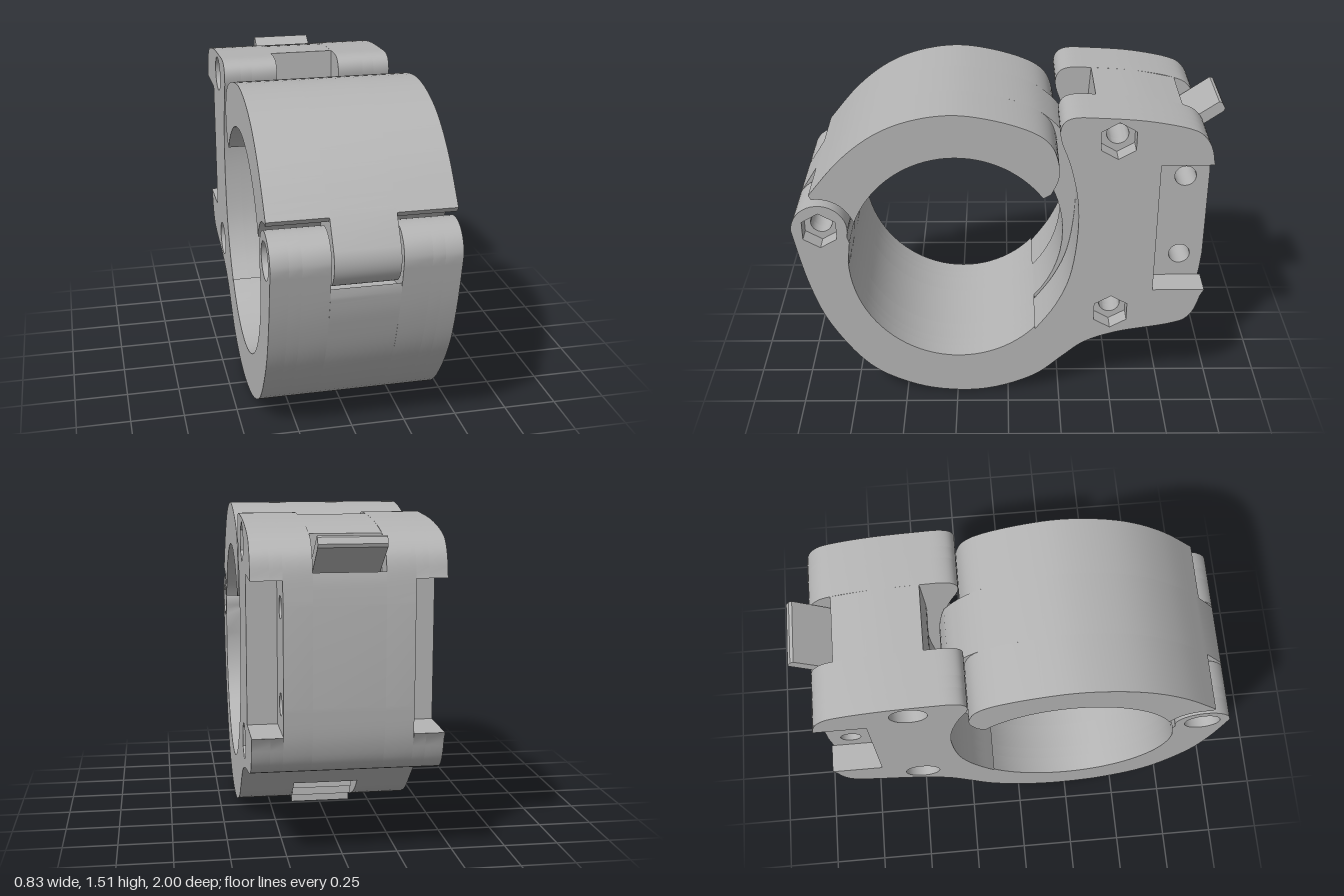
import * as THREE from 'three';
import { toCreasedNormals } from 'three/addons/utils/BufferGeometryUtils.js';

const rad = THREE.MathUtils.degToRad;
const HINGE = [0.87, 0.925];
const PINS = [HINGE, [-0.49, 1.38], [-0.49, 0.47]];
const SCREWS = [[-0.82, 1.135], [-0.82, 0.715]];

// Profiles are drawn as [z, y] points
const ring = (c, rz, ry, a0, a1, n = 24) => Array.from({ length: n + 1 }, (_, i) => {
  const a = rad(a0 + (a1 - a0) * i / n);
  return [c[0] + rz * Math.cos(a), c[1] + ry * Math.sin(a)];
});
const bore = (a0, a1) => ring([0.24, 0.757], 0.507, 0.542, a0, a1, 32);
const aroundHinge = (r, a0, a1, n) => ring(HINGE, r, r, a0, a1, n);
const smooth = (pts, n = 5) => new THREE.SplineCurve(pts.map(p => new THREE.Vector2(...p)))
  .getPoints(n * (pts.length - 1)).map(p => [p.x, p.y]);
const circle = (c, r) => ring(c, r, r, 0, 360, 28);
const hexagon = (c, r) => ring(c, r, r, 30, 390, 6);

const toVectors = (pts) => {
  const out = [];
  for (const p of pts) {
    const v = new THREE.Vector2(...p);
    if (!out.length || out[out.length - 1].distanceTo(v) > 1e-4) out.push(v);
  }
  if (out[0].distanceTo(out[out.length - 1]) < 1e-4) out.pop();
  return out;
};

// Extrudes a profile sideways from x0 to x1
function slab(outline, holes, x0, x1) {
  const shape = new THREE.Shape(toVectors(outline));
  shape.holes = holes.map(h => new THREE.Path(toVectors(h)));
  const g = new THREE.ExtrudeGeometry(shape, { depth: x1 - x0, bevelEnabled: false });
  g.rotateY(-Math.PI / 2);
  g.translate(x1, 0, 0);
  return toCreasedNormals(g, 0.5);
}

export function createModel() {
  const model = new THREE.Group();
  model.name = 'hingedClamp';
  const grey = new THREE.MeshStandardMaterial({ color: 0xb4b4b4 });
  grey.name = 'grey plastic';
  const add = (parent, name, outline, holes, x0, x1) => {
    const m = new THREE.Mesh(slab(outline, holes, x0, x1), grey);
    m.name = name;
    parent.add(m);
  };
  const body = new THREE.Group();
  body.name = 'lowerBody';
  const arm = new THREE.Group();
  arm.name = 'upperArm';
  model.add(body, arm);

  // Shared profile runs of the lower body
  const frontCurve = [[0.94, 0.64], [0.85, 0.40], [0.675, 0.16], [0.46, 0.04], [0.247, 0.002]];
  const underside = [[-0.26, 0.205], [-0.37, 0.295], [-0.53, 0.355], [-0.77, 0.40], [-0.865, 0.445],
    [-0.912, 0.56], [-0.93, 0.72]];
  const backCorner = [[-0.93, 1.15], [-0.915, 1.31], [-0.875, 1.395], [-0.80, 1.44]];
  const topEdge = [[-0.80, 1.44], [-0.61, 1.477], [-0.40, 1.492]];
  const lowerEdge = smooth([[1.0, 0.925], ...frontCurve, [0.06, 0.02], [-0.13, 0.095], ...underside]);
  const upperEdge = [
    ...smooth([...backCorner, ...topEdge.slice(1), [-0.29, 1.492], [-0.24, 1.46], [-0.233, 1.39],
      [-0.28, 1.255], [-0.318, 1.07], [-0.32, 0.88], [-0.29, 0.67], [-0.225, 0.51], [-0.13, 0.37]]),
    ...bore(223, 360), [0.735, 0.86], ...aroundHinge(0.13, 195, 0, 20),
  ];
  const sideOutline = [...lowerEdge, ...upperEdge];
  const pocket = [[-0.93, 0.595], [-0.685, 0.595], [-0.685, 1.26], [-0.925, 1.26]];
  const pocketOutline = [
    ...lowerEdge.filter(p => p[0] > -0.9 || p[1] < 0.59), ...pocket,
    ...upperEdge.filter(p => p[0] > -0.9 || p[1] > 1.27),
  ];
  const pinHoles = PINS.map(p => circle(p, 0.05));
  const screwHoles = SCREWS.map(p => circle(p, 0.05));

  // Upper arm cheeks stop short of the hinge knuckle
  const crown = [[0.905, 1.11], [0.757, 1.285], [0.6, 1.41], [0.435, 1.48], [0.247, 1.507],
    [0.06, 1.48], [-0.105, 1.425]];
  const cheek = [
    ...smooth([...crown, [-0.19, 1.36], [-0.226, 1.27], [-0.228, 1.19], [-0.195, 1.112]]),
    ...bore(142, 23), ...aroundHinge(0.165, 150, 82, 12),
  ];

  for (const s of [1, -1]) {
    const side = s > 0 ? 'left' : 'right';
    const span = (a, b) => (s > 0 ? [a, b] : [-b, -a]);
    // Round seats on the right, hexagonal seats on the left
    const seats = PINS.map(p => (s > 0 ? hexagon(p, 0.09) : circle(p, 0.085)));
    add(body, side + 'InnerWall', sideOutline, [...pinHoles, ...screwHoles], ...span(0.155, 0.28));
    add(body, side + 'PocketWall', pocketOutline, pinHoles, ...span(0.28, 0.335));
    add(body, side + 'OuterWall', pocketOutline, seats, ...span(0.335, 0.415));
    add(arm, side + 'ArmCheek', cheek, [], ...span(0.145, 0.415));
  }

  // Middle of the lower jaw, between the hinge notch and the tongue slot
  add(body, 'lowerJawMiddle', [
    ...smooth([[0.972, 0.775], ...frontCurve, [0.09, 0.016]]),
    ...aroundHinge(1.17, 226, 210, 8),
    ...bore(223, 360), [0.74, 0.84], ...aroundHinge(0.15, 212, 312, 12),
  ], [], -0.155, 0.155);

  // Middle of the lock housing, with the lever slot at the top rear corner
  add(body, 'lockHousingMiddle', [
    ...smooth([[-0.22, 0.172], ...underside]),
    ...smooth([[-0.93, 1.15], [-0.925, 1.24], [-0.918, 1.29]]), [-0.82, 1.25],
    ...smooth(topEdge),
    ...smooth([[-0.40, 1.492], [-0.385, 1.2], [-0.40, 0.93], [-0.37, 0.65], [-0.29, 0.38], [-0.22, 0.172]]),
  ], [pinHoles[1], pinHoles[2], ...screwHoles], -0.155, 0.155);

  // Middle of the arm: hinge knuckle, crown and toothed tongue
  const teeth = [];
  for (let a = 196; a < 226; a += 3) {
    teeth.push(aroundHinge(1.215, a, a, 1)[0], aroundHinge(1.275, a + 2.6, a + 2.6, 1)[0]);
  }
  add(arm, 'armMiddleAndTongue', [
    ...aroundHinge(0.13, 200, 390, 28),
    ...smooth([...crown, [-0.21, 1.35], [-0.275, 1.27]]),
    ...aroundHinge(1.212, 166, 195, 14), ...teeth,
    ...aroundHinge(1.18, 228, 210, 8),
    ...bore(223, 23),
  ], [pinHoles[0]], -0.145, 0.145);

  // Release lever
  add(model, 'releaseLever', [[-0.97, 1.447], [-0.985, 1.442], [-1.0, 1.415], [-0.995, 1.4],
    [-0.80, 1.26], [-0.775, 1.31]], [], -0.145, 0.145);

  return model;
}
